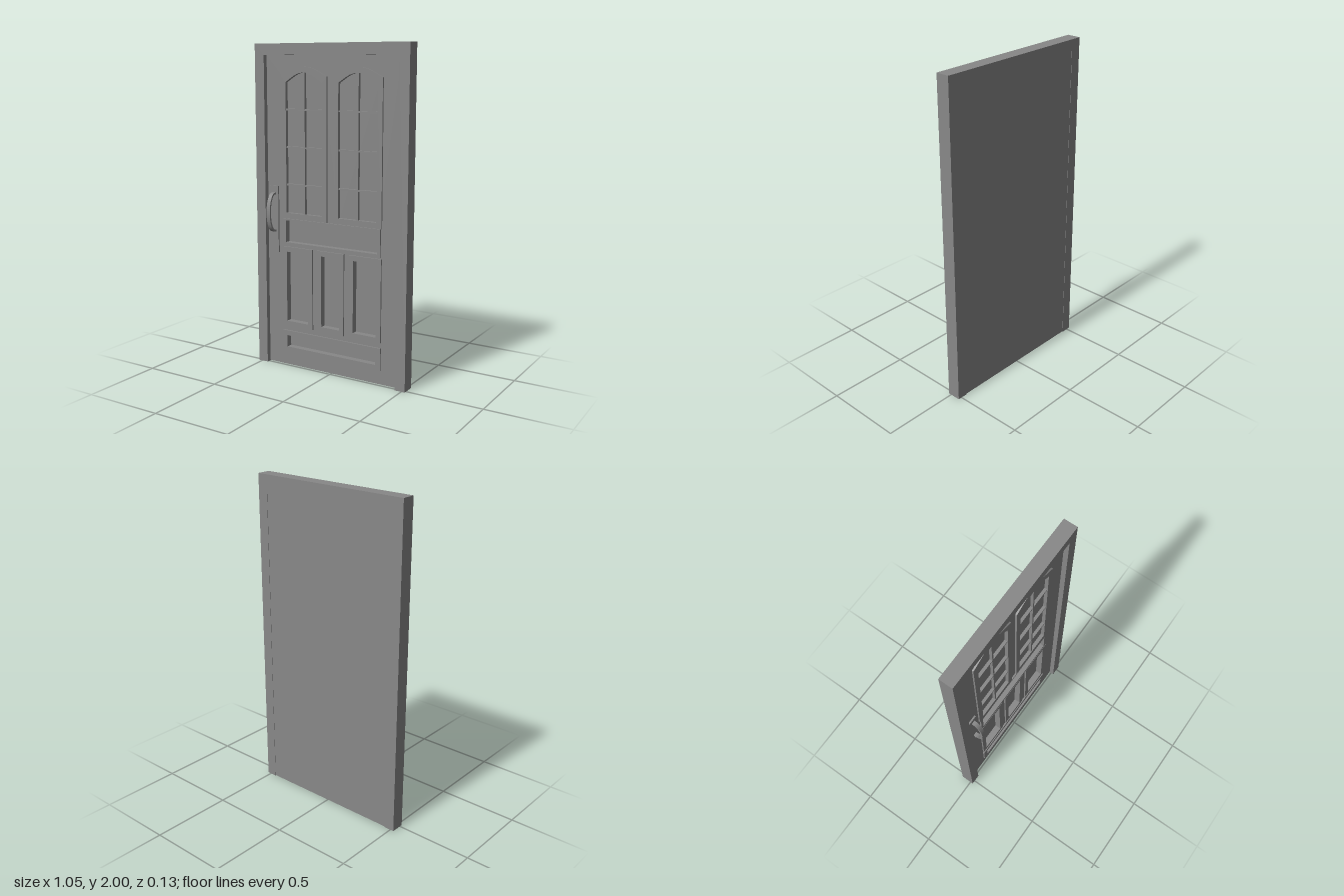
import * as THREE from 'three';

const FRAME_BACK = -0.066, FRAME_FRONT = 0.018;
const LEAF_BACK = -0.064, LEAF_FRONT = -0.012;
const FLOOR = -0.042, GLASS = -0.024, MOULD = -0.002;

const mat = new THREE.MeshStandardMaterial({ color: 0x888888, flatShading: true });

function box(name, x0, x1, y0, y1, z0, z1) {
  const m = new THREE.Mesh(new THREE.BoxGeometry(x1 - x0, y1 - y0, z1 - z0), mat);
  m.position.set((x0 + x1) / 2, (y0 + y1) / 2, (z0 + z1) / 2);
  m.name = name;
  return m;
}

// Outline of a panel; rise > 0 gives it a faceted arched head
function outline(PathType, [x0, x1, y0, y1], rise = 0) {
  const p = new PathType();
  p.moveTo(x0, y0);
  p.lineTo(x1, y0);
  p.lineTo(x1, y1);
  if (rise) {
    const c = (x0 + x1) / 2, h = (x1 - x0) / 2;
    for (const [u, v] of [[0.6, 0.58], [0.4, 0.82], [0.2, 0.96], [0, 1], [-0.2, 0.96], [-0.4, 0.82], [-0.6, 0.58]])
      p.lineTo(c + u * h, y1 + v * rise);
  }
  p.lineTo(x0, y1);
  p.closePath();
  return p;
}

function slab(name, shape, z0, z1) {
  const g = new THREE.ExtrudeGeometry(shape, { depth: z1 - z0, bevelEnabled: false });
  g.translate(0, 0, z0);
  const m = new THREE.Mesh(g, mat);
  m.name = name;
  return m;
}

// Curved strap handle with short straight legs, its side profile extruded across x
function pullHandle() {
  const s = new THREE.Shape();
  const N = 28, ry = 0.122, rz = 0.058, t = 0.012, leg = -0.014;
  const arc = (i, inset) => {
    const a = -Math.PI / 2 + Math.PI * i / N;
    s.lineTo((rz - inset) * Math.cos(a), (ry - inset) * Math.sin(a));
  };
  s.moveTo(leg, -ry);
  for (let i = 0; i <= N; i++) arc(i, 0);
  s.lineTo(leg, ry);
  s.lineTo(leg, ry - t);
  for (let i = N; i >= 0; i--) arc(i, t);
  s.lineTo(leg, t - ry);
  s.closePath();
  const g = new THREE.ExtrudeGeometry(s, { depth: 0.025, bevelEnabled: false });
  g.translate(0, 0, -0.0125);
  g.rotateY(-Math.PI / 2);
  const m = new THREE.Mesh(g, mat);
  m.position.set(-0.404, 0.978, 0.008);
  m.name = 'pullHandle';
  return m;
}

export function createModel() {
  const door = new THREE.Group();
  door.name = 'door';

  // Surrounding frame: two jambs and a lintel as one piece
  const f = new THREE.Shape([
    [-0.523, 0], [-0.457, 0], [-0.457, 1.933], [0.457, 1.933], [0.457, 0],
    [0.523, 0], [0.523, 2], [-0.523, 2],
  ].map(([x, y]) => new THREE.Vector2(x, y)));
  door.add(slab('doorFrame', f, FRAME_BACK, FRAME_FRONT));

  // Panels: outer and inner rectangles, optional arch rise
  const panels = [
    { name: 'leftWindow', out: [-0.347, -0.024, 0.945, 1.807], inn: [-0.313, -0.056, 0.98, 1.773], rise: 0.057, glass: true },
    { name: 'rightWindow', out: [0.024, 0.347, 0.945, 1.807], inn: [0.056, 0.313, 0.98, 1.773], rise: 0.057, glass: true },
    { name: 'middlePanel', out: [-0.339, 0.339, 0.776, 0.943], inn: [-0.32, 0.32, 0.795, 0.932] },
    { name: 'lowerPanelA', out: [-0.347, -0.128, 0.26, 0.767], inn: [-0.315, -0.16, 0.291, 0.735] },
    { name: 'lowerPanelB', out: [-0.094, 0.094, 0.26, 0.767], inn: [-0.063, 0.063, 0.291, 0.735] },
    { name: 'lowerPanelC', out: [0.128, 0.347, 0.26, 0.767], inn: [0.16, 0.315, 0.291, 0.735] },
    { name: 'bottomPanel', out: [-0.347, 0.347, 0.09, 0.228], inn: [-0.315, 0.315, 0.122, 0.196] },
  ];

  // Leaf: solid back with a pierced front layer
  const leafRect = [-0.457, 0.457, 0.003, 1.933];
  door.add(box('leafBack', ...leafRect, LEAF_BACK, FLOOR));
  const leaf = outline(THREE.Shape, leafRect);
  for (const p of panels) leaf.holes.push(outline(THREE.Path, p.inn, p.rise));
  door.add(slab('leafFront', leaf, FLOOR, LEAF_FRONT));

  // Raised mouldings, with panes and glazing bars in the windows
  for (const p of panels) {
    const g = new THREE.Group();
    g.name = p.name;
    const ring = outline(THREE.Shape, p.out, p.rise);
    ring.holes.push(outline(THREE.Path, p.inn, p.rise));
    g.add(slab('moulding', ring, LEAF_FRONT, MOULD));
    if (p.glass) {
      const [x0, x1, y0, y1] = p.inn, c = (x0 + x1) / 2;
      g.add(slab('pane', outline(THREE.Shape, p.inn, p.rise), FLOOR, GLASS));
      g.add(box('verticalBar', c - 0.005, c + 0.005, y0, y1 + p.rise, GLASS, -0.006));
      for (const y of [1.155, 1.383, 1.61])
        g.add(box('crossBar', x0, x1, y - 0.005, y + 0.005, GLASS, -0.006));
    }
    door.add(g);
  }

  // Handle plate, pull and lock cylinder
  const handle = new THREE.Group();
  handle.name = 'handle';
  handle.add(box('backPlate', -0.439, -0.375, 0.725, 1.14, LEAF_FRONT, -0.002));
  handle.add(pullHandle());
  const lock = new THREE.Mesh(new THREE.CylinderGeometry(0.006, 0.006, 0.004, 16), mat);
  lock.rotation.x = Math.PI / 2;
  lock.position.set(-0.404, 0.8, -0.002);
  lock.name = 'lockCylinder';
  handle.add(lock);
  door.add(handle);

  return door;
}
